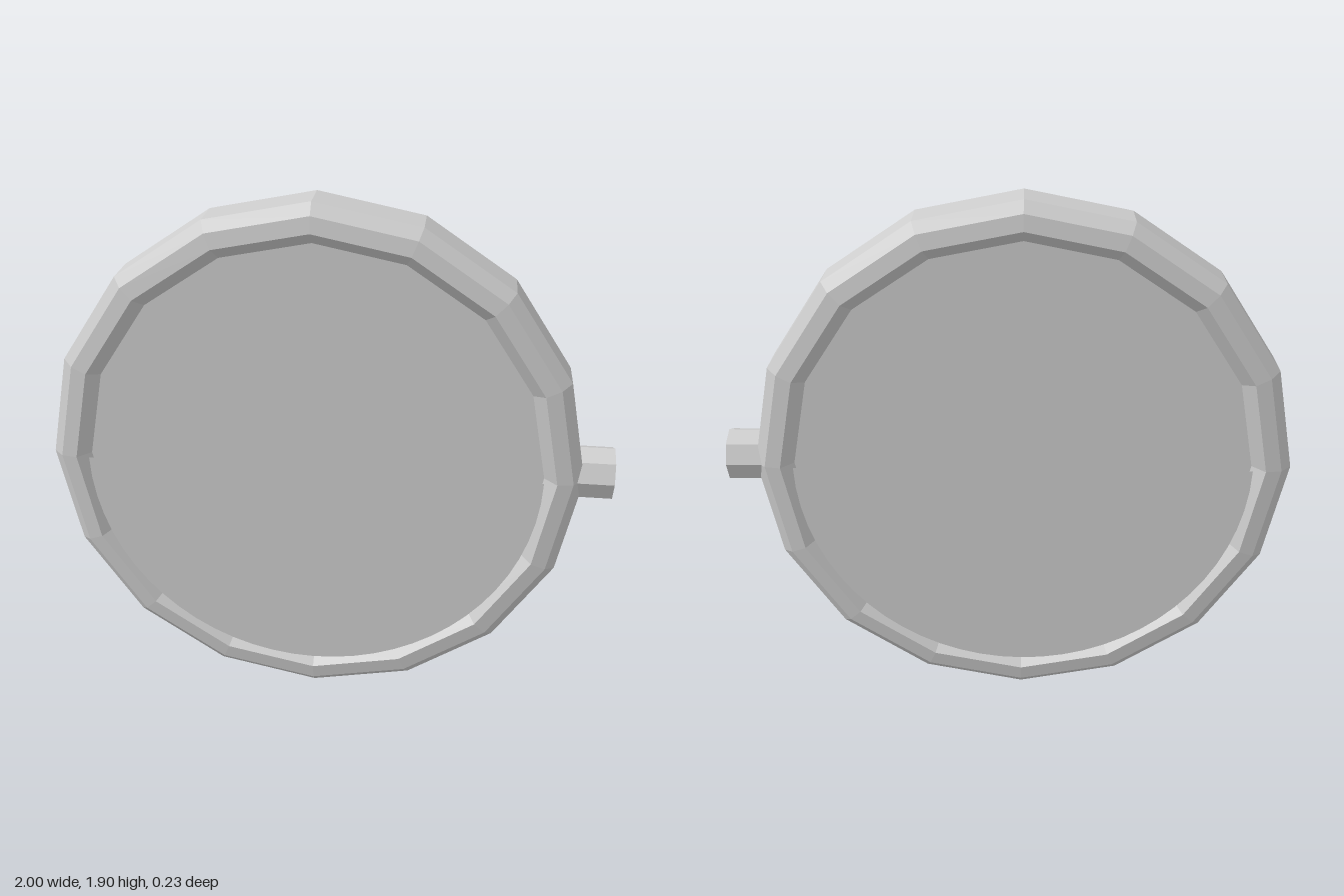
import * as THREE from 'three';

const CX = -0.051, CY = 0.949; // centre of the round body

// Split faces so every facet shades flat
function flat(geometry) {
  const g = geometry.index ? geometry.toNonIndexed() : geometry;
  g.computeVertexNormals();
  return g;
}

export function createModel() {
  const group = new THREE.Group();
  const gray = new THREE.MeshStandardMaterial({ color: 0xcccccc, side: THREE.DoubleSide });
  gray.name = 'light gray';

  const add = (name, geometry, x, y, z = 0) => {
    const mesh = new THREE.Mesh(flat(geometry), gray);
    mesh.name = name;
    mesh.position.set(x, y, z);
    group.add(mesh);
    return mesh;
  };

  // Bevelled sixteen-sided rim
  const profile = [
    [0.949, -0.07], [0.949, 0.07], [0.911, 0.108], [0.855, 0.117], [0.812, 0.07],
    [0.812, -0.07], [0.855, -0.117], [0.911, -0.108], [0.949, -0.07],
  ].map(([r, z]) => new THREE.Vector2(r, z));
  const rim = new THREE.LatheGeometry(profile, 16);
  rim.rotateX(Math.PI / 2);
  add('rim', rim, CX, CY);

  // Round panel filling the rim
  const panel = new THREE.CylinderGeometry(0.812, 0.812, 0.14, 32);
  panel.rotateX(Math.PI / 2);
  add('skyPanel', panel, CX, CY);

  // Outlines of the flat layers
  const half = new THREE.Shape();
  half.absarc(0, 0, 0.81, Math.PI, Math.PI * 2, false);
  half.closePath();
  const ray = new THREE.Shape();
  ray.moveTo(0.13, -0.021);
  ray.lineTo(0.175, 0);
  ray.lineTo(0.13, 0.021);
  ray.closePath();

  // Each face carries a sun and, in front of it, a half disc
  for (const [name, side] of [['front', 1], ['back', -1]]) {
    add(name + 'LowerPanel', new THREE.ShapeGeometry(half, 16), CX, CY, side * 0.112);
    add(name + 'SunDisc', new THREE.CircleGeometry(0.112, 24), -0.533, 1.097, side * 0.085);
    for (let i = 0; i < 8; i++) {
      const mesh = add(name + 'SunRay', new THREE.ShapeGeometry(ray), -0.533, 1.097, side * 0.085);
      mesh.rotation.z = (i * Math.PI) / 4;
    }
  }

  // Octagonal side knob
  const knob = new THREE.CylinderGeometry(0.095, 0.095, 0.16, 8);
  knob.rotateZ(Math.PI / 2);
  add('knob', knob, 0.92, 0.95);

  return group;
}
